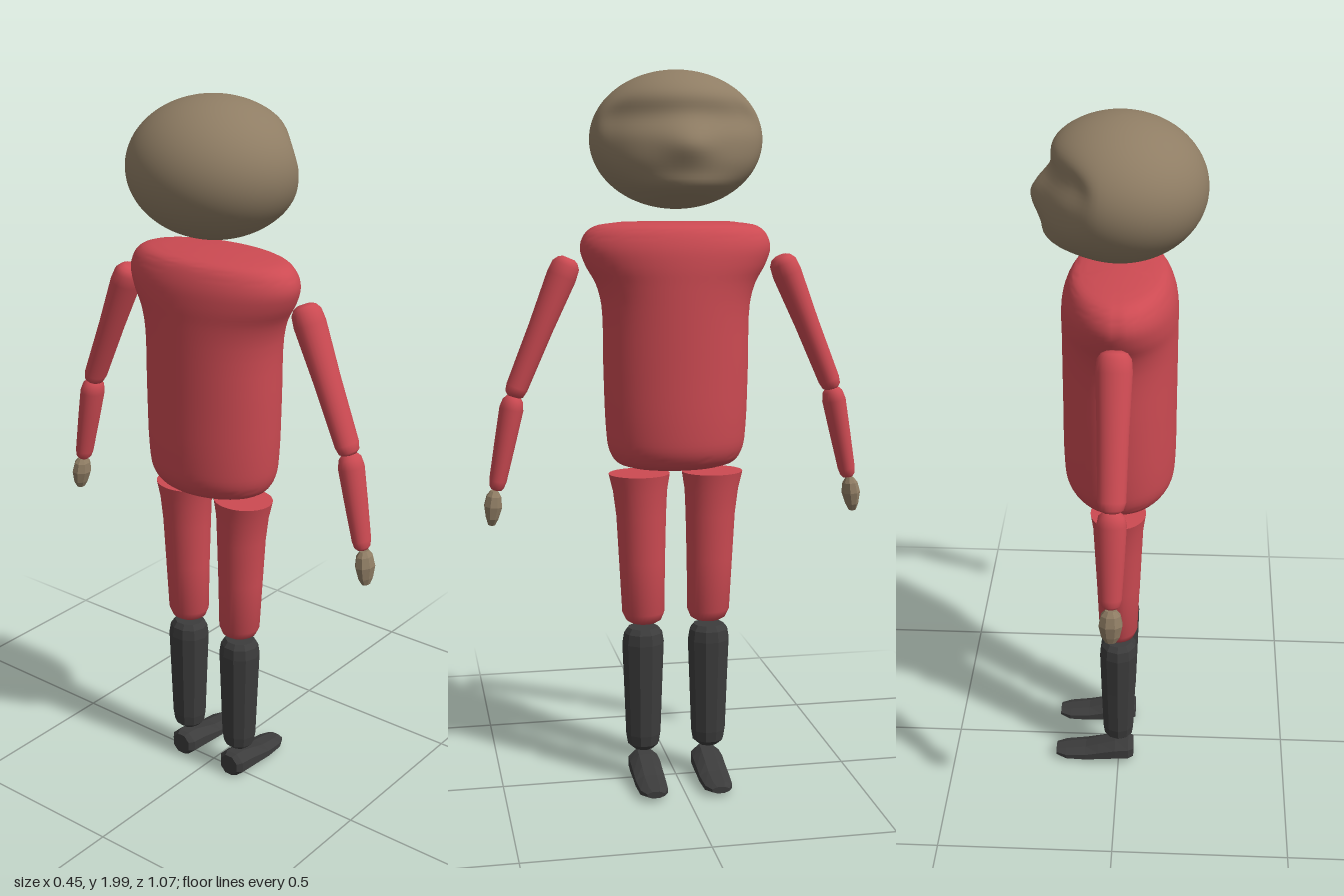
import * as THREE from 'three';
import { toCreasedNormals } from 'three/addons/utils/BufferGeometryUtils.js';

const mat = (color, flatShading = false) => new THREE.MeshStandardMaterial({ color, flatShading });
const red = mat(0xcc4a52);
const skin = mat(0x8f7d64);
const skinFlat = mat(0x8f7d64, true);
const dark = mat(0x3c3c3c, true);

// Capped loft through elliptical rings [y, rx, rz, cx, cz], listed from low to high y
function loft(rings, sides) {
  const pos = [], idx = [], n = rings.length;
  for (const [y, rx, rz, cx = 0, cz = 0] of rings) {
    for (let j = 0; j < sides; j++) {
      const a = ((j + 0.5) / sides) * Math.PI * 2;
      pos.push(cx + rx * Math.cos(a), y, cz + rz * Math.sin(a));
    }
  }
  for (const [y, , , cx = 0, cz = 0] of [rings[0], rings[n - 1]]) pos.push(cx, y, cz);
  const low = n * sides, high = low + 1;
  for (let j = 0; j < sides; j++) {
    const k = (j + 1) % sides;
    for (let i = 0; i < n - 1; i++) {
      const p = i * sides + j, q = i * sides + k;
      idx.push(p, p + sides, q, q, p + sides, q + sides);
    }
    idx.push(low, j, k, high, (n - 1) * sides + k, (n - 1) * sides + j);
  }
  const g = new THREE.BufferGeometry();
  g.setAttribute('position', new THREE.Float32BufferAttribute(pos, 3));
  g.setIndex(idx);
  g.computeVertexNormals();
  return g;
}

// Resample a few rings along a smooth curve
function smoothRings(rings, count) {
  const curve = new THREE.CatmullRomCurve3(rings.map(([y, rx, rz]) => new THREE.Vector3(rx, y, rz)), false, 'centripetal');
  return curve.getPoints(count).map((p) => [p.y, p.x, p.z]);
}

// Head: ellipsoid with sunken brow, pointed nose and full chin on the +x side
function headGeometry() {
  const g = new THREE.SphereGeometry(1, 64, 48);
  g.scale(0.225, 0.185, 0.235);
  const p = g.attributes.position;
  const bump = (v, c, w) => Math.exp(-(((v - c) / w) ** 2));
  for (let i = 0; i < p.count; i++) {
    const x = p.getX(i), y = p.getY(i), z = p.getZ(i);
    const front = THREE.MathUtils.smoothstep(x, 0.03, 0.15);
    const brow = -0.036 * bump(y, 0.06, 0.045);
    const cheek = -0.022 * bump(y, -0.01, 0.06) * (1 - bump(z, 0, 0.07));
    const nose = 0.006 * bump(y, -0.02, 0.03) * bump(z, 0, 0.06);
    const chin = 0.024 * bump(y, -0.125, 0.03) * bump(z, 0, 0.15);
    p.setX(i, x + front * (brow + cheek + nose + chin));
  }
  g.computeVertexNormals();
  // Weld the normals across the sphere's seam, which lies on the plain back
  const nrm = g.attributes.normal;
  for (let r = 0; r <= 48; r++) {
    const a = r * 65, b = a + 64;
    const v = new THREE.Vector3().fromBufferAttribute(nrm, a)
      .add(new THREE.Vector3().fromBufferAttribute(nrm, b)).normalize();
    nrm.setXYZ(a, v.x, v.y, v.z);
    nrm.setXYZ(b, v.x, v.y, v.z);
  }
  return g;
}

export function createModel() {
  const model = new THREE.Group();
  const add = (name, geometry, material, x = 0, y = 0, z = 0) => {
    const m = new THREE.Mesh(geometry, material);
    m.name = name;
    m.position.set(x, y, z);
    model.add(m);
    return m;
  };

  add('head', headGeometry(), skin, 0, 1.815, 0);

  // Torso with flared shoulders
  const torso = [
    [0.92, 0.09, 0.13], [0.935, 0.125, 0.168], [0.97, 0.147, 0.188], [1.03, 0.154, 0.196],
    [1.2, 0.155, 0.202], [1.37, 0.155, 0.206], [1.43, 0.155, 0.222], [1.48, 0.155, 0.25],
    [1.525, 0.15, 0.264], [1.56, 0.138, 0.254], [1.583, 0.122, 0.228], [1.595, 0.085, 0.16],
  ];
  add('torso', toCreasedNormals(loft(smoothRings(torso, 44), 48), 0.7), red);

  // A limb lofted from its lower end to its upper end, in the plane x = 0
  const limb = (name, s, [z0, y0], [z1, y1], rings, sides, material) => {
    const dir = new THREE.Vector3(0, y1 - y0, s * (z1 - z0));
    const length = dir.length();
    const g = loft(rings.map(([t, rx, rz]) => [t * length, rx, rz]), sides);
    const m = add(name, g, material, 0, y0, s * z0);
    m.quaternion.setFromUnitVectors(new THREE.Vector3(0, 1, 0), dir.normalize());
  };
  const upperArm = [
    [0, 0.02, 0.017], [0.02, 0.031, 0.026], [0.07, 0.037, 0.03], [0.5, 0.041, 0.034],
    [0.87, 0.047, 0.041], [0.95, 0.044, 0.038], [0.985, 0.034, 0.028], [1, 0.02, 0.017],
  ];
  const foreArm = [
    [0, 0.016, 0.014], [0.03, 0.025, 0.02], [0.1, 0.029, 0.024], [0.5, 0.035, 0.029],
    [0.86, 0.039, 0.033], [0.95, 0.034, 0.028], [1, 0.02, 0.017],
  ];
  const hand = [
    [0, 0.014, 0.01], [0.2, 0.026, 0.018], [0.55, 0.033, 0.026], [0.85, 0.027, 0.021], [1, 0.015, 0.011],
  ];

  // Foot sections run from heel to toe: [x, half height, half width, -centre height]
  const foot = [
    [-0.045, 0.033, 0.032, -0.04], [-0.03, 0.04, 0.045, -0.04], [0.01, 0.038, 0.047, -0.038],
    [0.06, 0.03, 0.046, -0.03], [0.1, 0.023, 0.046, -0.024], [0.16, 0.017, 0.042, -0.021],
    [0.19, 0.01, 0.027, -0.023],
  ];

  for (const s of [1, -1]) {
    const side = s > 0 ? 'Front' : 'Back';
    limb('upperArm' + side, s, [0.452, 1.125], [0.295, 1.5], upperArm, 24, red);
    limb('foreArm' + side, s, [0.503, 0.868], [0.45, 1.128], foreArm, 24, red);
    limb('hand' + side, s, [0.518, 0.77], [0.508, 0.865], hand, 8, skinFlat);

    // Thigh flares to a flat top
    const thigh = [
      [0.47, 0.035, 0.037, 0, 0.093], [0.478, 0.047, 0.05, 0, 0.093], [0.5, 0.055, 0.06, 0, 0.094],
      [0.65, 0.061, 0.065, 0, 0.097], [0.78, 0.067, 0.07, 0, 0.099], [0.85, 0.07, 0.076, 0, 0.102],
      [0.9, 0.077, 0.086, 0, 0.104],
    ].map(([y, rx, rz, cx, cz]) => [y, rx, rz, cx, s * cz]);
    add('thigh' + side, toCreasedNormals(loft(thigh, 32), 0.8), red);

    // Boot shaft
    const shaft = [
      [0.095, 0.027, 0.028], [0.11, 0.043, 0.045], [0.14, 0.047, 0.05], [0.28, 0.052, 0.055],
      [0.41, 0.056, 0.06], [0.44, 0.052, 0.055], [0.455, 0.04, 0.043],
    ];
    add('lowerLeg' + side, loft(shaft, 10), dark, 0, 0, s * 0.095);

    const footGeometry = loft(foot, 8);
    footGeometry.rotateZ(-Math.PI / 2);
    add('foot' + side, footGeometry, dark, 0, 0.003, s * 0.092);
  }
  return model;
}
